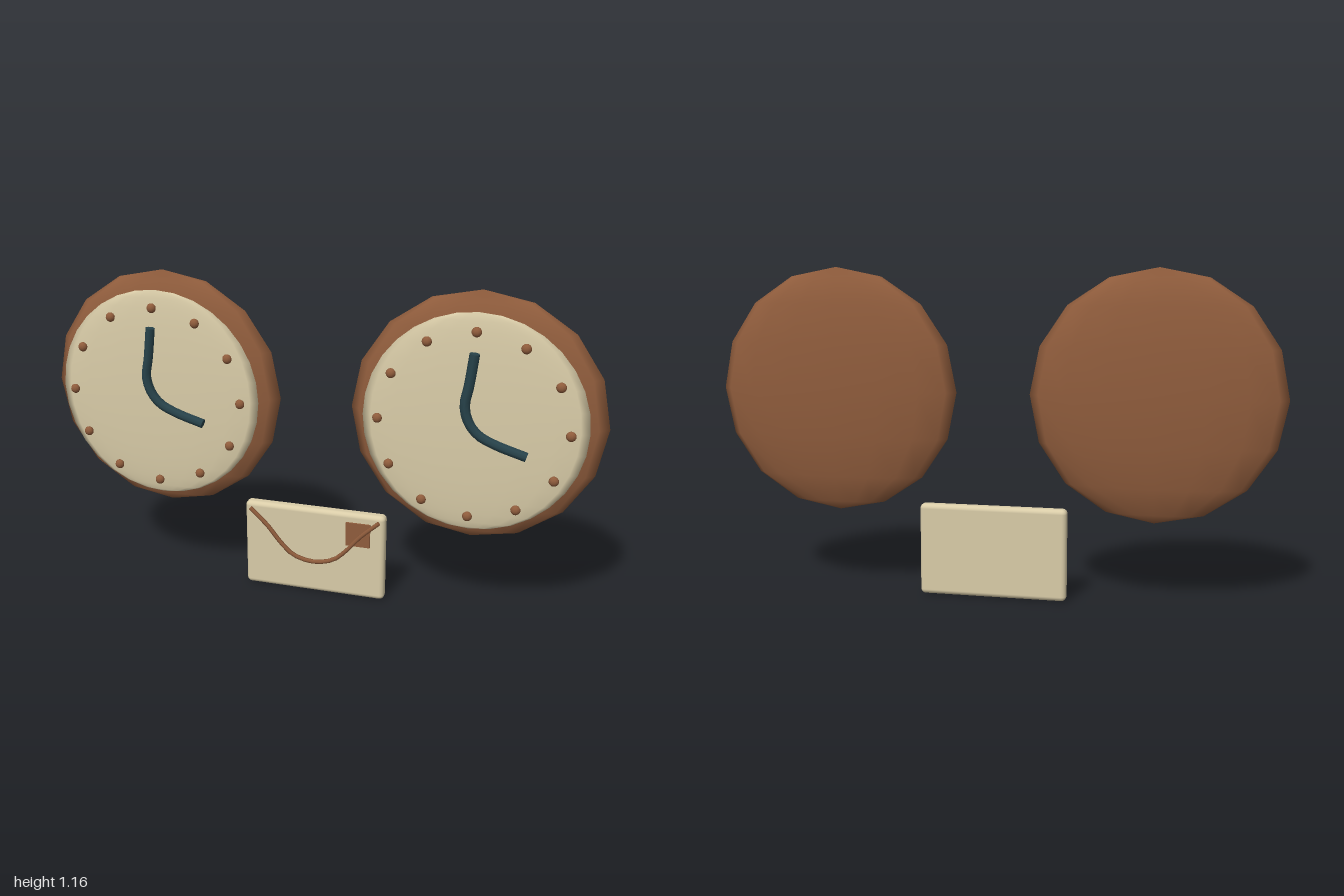
import * as THREE from 'three';
import { RoundedBoxGeometry } from 'three/addons/geometries/RoundedBoxGeometry.js';

const material = (name, color, side = THREE.FrontSide) => {
  const m = new THREE.MeshStandardMaterial({ color, side });
  m.name = name;
  return m;
};

export function createModel() {
  const brown = material('brown', 0x8f5c3c);
  const cream = material('cream', 0xd9cca8);
  const teal = material('dark teal', 0x27424a);

  const add = (parent, name, geometry, mat, x = 0, y = 0, z = 0) => {
    const mesh = new THREE.Mesh(geometry, mat);
    mesh.name = name;
    mesh.position.set(x, y, z);
    parent.add(mesh);
    return mesh;
  };
  const ellipsoid = (r, depth, w, h) => new THREE.SphereGeometry(r, w, h).scale(1, 1, depth / r);

  // Round tube through points, closed with a disc at each end
  const cappedTube = (parent, name, points, radius, sides, mat) => {
    const curve = new THREE.CatmullRomCurve3(points.map((p) => new THREE.Vector3(...p)));
    const group = new THREE.Group();
    group.name = name;
    add(group, name + 'Tube', new THREE.TubeGeometry(curve, 20, radius, sides), mat);
    for (const t of [0, 1]) {
      const p = curve.getPointAt(t);
      const cap = add(group, name + 'End', new THREE.CircleGeometry(radius, sides), mat, p.x, p.y, p.z);
      cap.lookAt(p.clone().addScaledVector(curve.getTangentAt(t), t ? 1 : -1));
    }
    parent.add(group);
  };

  const createClock = (name, x) => {
    const clock = new THREE.Group();
    clock.name = name;
    clock.position.set(x, 0.73, 0);
    // Lens-shaped case and dial
    add(clock, 'case', ellipsoid(0.435, 0.076, 16, 8), brown, 0, 0, -0.027);
    add(clock, 'dial', ellipsoid(0.377, 0.024, 16, 16), cream, 0, 0, 0.046);
    // Twelve hour beads
    for (let i = 0; i < 12; i++) {
      const a = (i * Math.PI) / 6;
      add(clock, 'hourBead', ellipsoid(0.017, 0.013, 10, 8), brown,
        0.319 * Math.sin(a), 0.319 * Math.cos(a), 0.077);
    }
    // Both hands as one bent rod
    cappedTube(clock, 'hands', [
      [0, 0.252, 0.093], [-0.013, 0.145, 0.093], [-0.024, 0.075, 0.093], [-0.009, 0.02, 0.093],
      [0.024, -0.02, 0.093], [0.078, -0.047, 0.093], [0.185, -0.08, 0.093],
    ], 0.017, 8, teal);
    return clock;
  };

  // Envelope with flap line and stamp
  const envelope = new THREE.Group();
  envelope.name = 'envelope';
  add(envelope, 'envelopeBody', new RoundedBoxGeometry(0.528, 0.33, 0.047, 3, 0.017), cream, -0.001, 0.165, -0.026);
  add(envelope, 'stamp', new THREE.BoxGeometry(0.09, 0.09, 0.008), brown, 0.166, 0.252, 0);
  cappedTube(envelope, 'flapLine', [
    [-0.243, 0.309, 0.004], [-0.175, 0.247, 0.006], [-0.125, 0.188, 0.008], [-0.077, 0.146, 0.01],
    [0, 0.128, 0.011],
    [0.077, 0.146, 0.01], [0.125, 0.188, 0.008], [0.175, 0.247, 0.006], [0.243, 0.309, 0.004],
  ], 0.008, 6, brown);

  const model = new THREE.Group();
  model.name = 'twoClocksAndEnvelope';
  model.add(createClock('rightClock', -0.565), createClock('leftClock', 0.565), envelope);
  return model;
}
